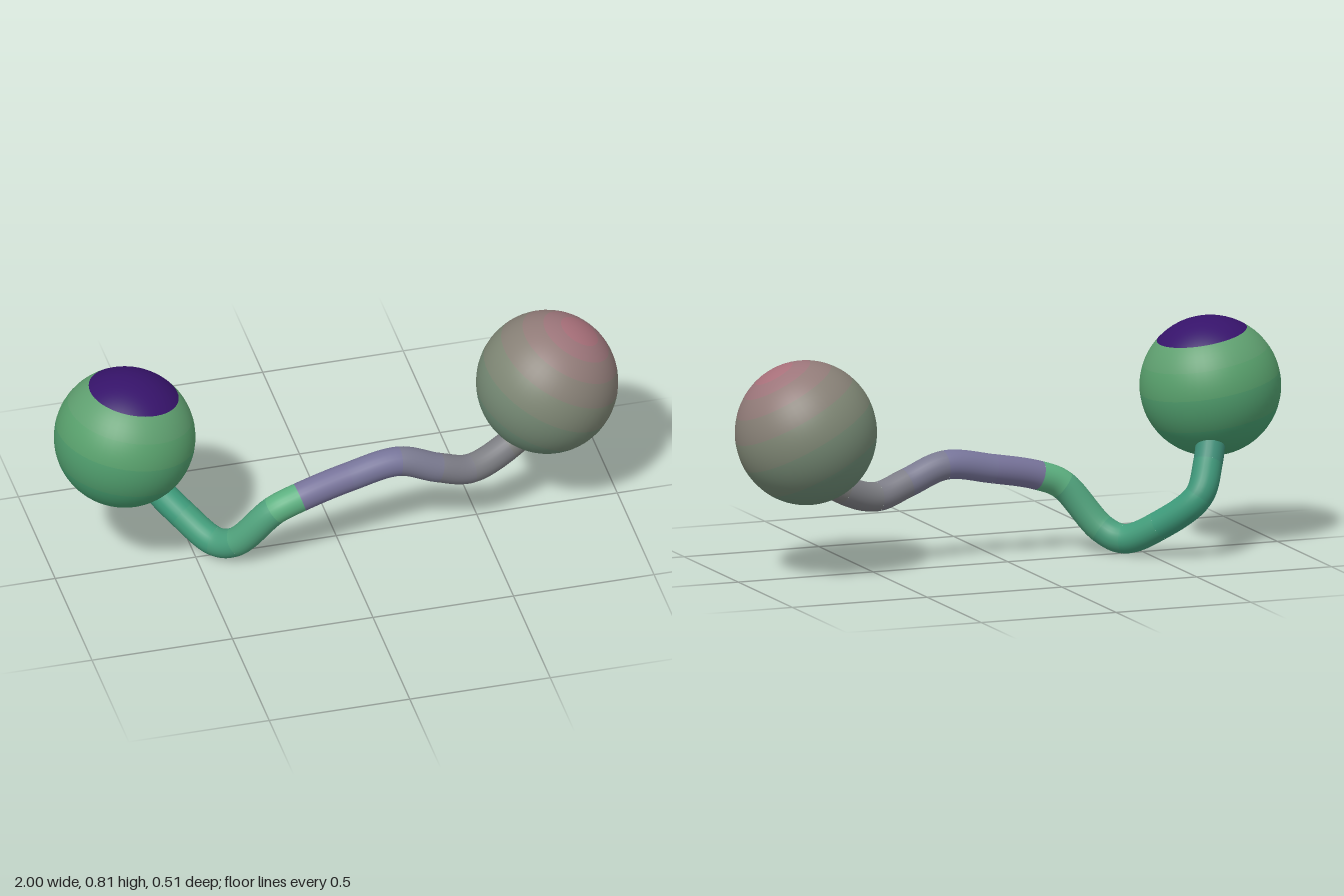
import * as THREE from 'three';

const TUBE_RADIUS = 0.051;

// Ball made of stacked bands around a tilted pole, one colour per band.
function createBall(name, center, radii, pole, bands) {
  const ball = new THREE.Group();
  ball.name = name;
  let from = 0;
  bands.forEach(([to, color], i) => {
    const rows = Math.max(2, Math.round((to - from) / 0.08));
    const geometry = new THREE.SphereGeometry(1, 48, rows, 0, Math.PI * 2, from, to - from);
    geometry.applyQuaternion(new THREE.Quaternion().setFromUnitVectors(
      new THREE.Vector3(0, 1, 0), new THREE.Vector3(...pole).normalize()));
    geometry.scale(...radii);
    const band = new THREE.Mesh(geometry, new THREE.MeshStandardMaterial({ color }));
    band.name = `${name}Band${i + 1}`;
    ball.add(band);
    from = to;
  });
  ball.position.set(...center);
  return ball;
}

// Bent rod, swept in sections between the bend points, one colour per section.
function createRod() {
  const rod = new THREE.Group();
  rod.name = 'bentRod';
  const path = new THREE.CatmullRomCurve3([
    [-0.72, 0.43, -0.09],
    [-0.68, 0.33, -0.155],
    [-0.625, 0.225, -0.205],
    [-0.52, 0.115, -0.11],
    [-0.43, 0.055, -0.005],
    [-0.37, 0.085, 0.055],
    [-0.25, 0.235, 0.113],
    [-0.16, 0.275, 0.115],
    [0.02, 0.315, 0.095],
    [0.2, 0.342, 0.085],
    [0.34, 0.29, 0.085],
    [0.46, 0.253, 0.068],
    [0.6, 0.295, 0.03],
    [0.72, 0.38, 0],
  ].map((p) => new THREE.Vector3(...p)));
  const colors = [
    0x3d8c76, 0x3d9477, 0x3d9a7a, 0x429c7a, 0x489c7a, 0x50a27c, 0x5cb080,
    0x77739a, 0x77759a, 0x7a7a90, 0x7c7c86, 0x7c7d82, 0x7c7d7c,
  ];
  colors.forEach((color, i) => {
    const section = new THREE.Curve();
    section.getPoint = (t, target) => path.getPoint((i + t) / colors.length, target);
    const mesh = new THREE.Mesh(
      new THREE.TubeGeometry(section, 10, TUBE_RADIUS, 24),
      new THREE.MeshStandardMaterial({ color }));
    mesh.name = `rodSection${i + 1}`;
    rod.add(mesh);
  });
  return rod;
}

export function createModel() {
  const model = new THREE.Group();
  model.name = 'bentDumbbell';

  // Green ball with a dark purple cap
  model.add(createBall('greenBall', [-0.756, 0.567, 0.012], [0.244, 0.243, 0.245], [0.18, 1, -0.02], [
    [0.7, 0x36136a], [1.1, 0x5fa070], [1.5, 0x58a06c], [2, 0x4f9c6c], [Math.PI, 0x469c6e],
  ]));

  // Greyish ball, rosy around its upper outer side
  model.add(createBall('rosyBall', [0.753, 0.512, -0.01], [0.245, 0.25, 0.245], [0.45, 0.85, 0.1], [
    [0.3, 0xa8707a], [0.55, 0x9c757a], [0.85, 0x917b78], [1.2, 0x878076],
    [1.6, 0x7e8674], [2.1, 0x748873], [Math.PI, 0x6c8a74],
  ]));

  model.add(createRod());
  return model;
}
